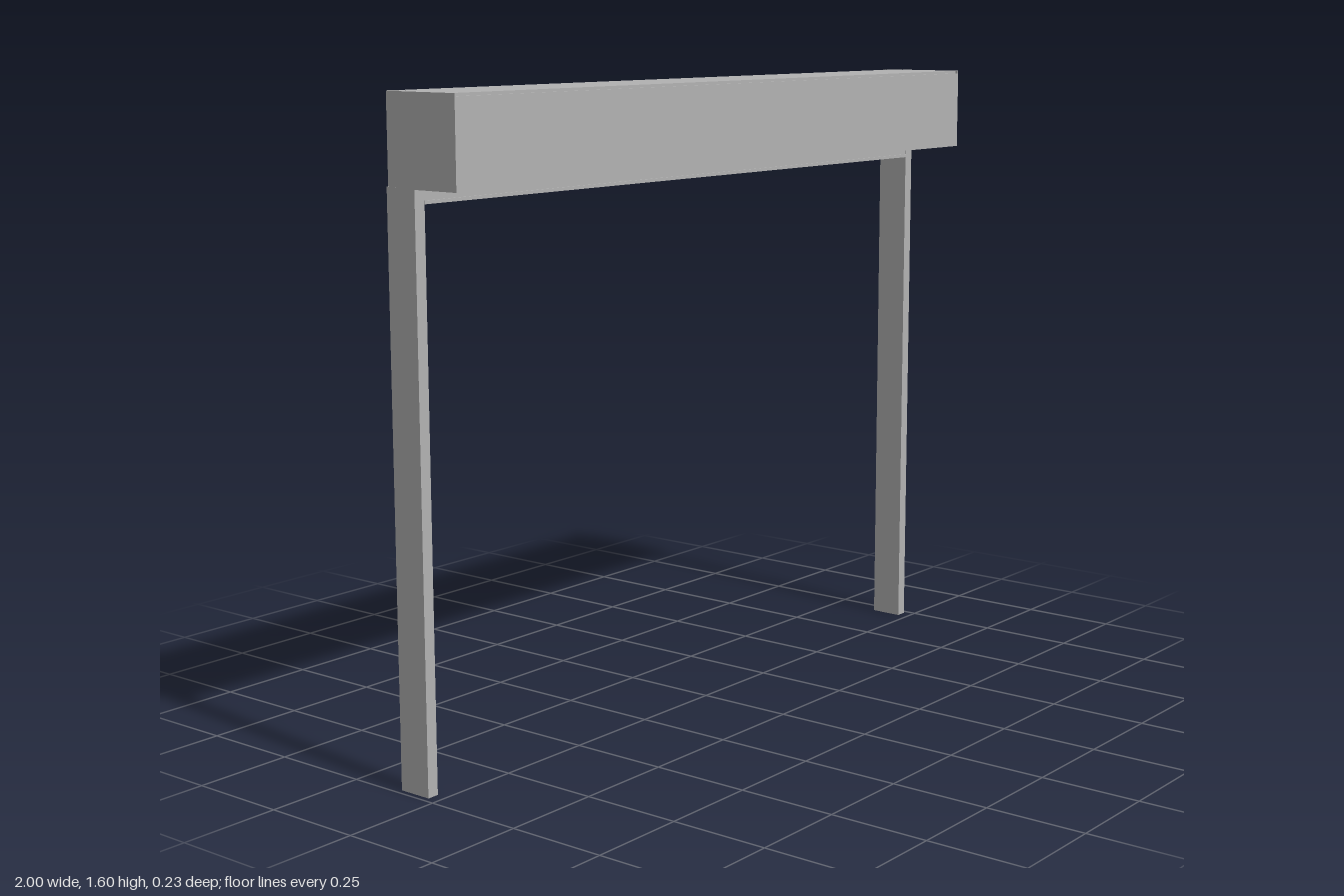
import * as THREE from 'three';

const grey = new THREE.MeshStandardMaterial({ color: 0xb3b3b3 });
grey.name = 'grey metal';

// Box given by its lower and upper limits on each axis
function box(parent, name, [x0, x1], [y0, y1], [z0, z1]) {
  const mesh = new THREE.Mesh(new THREE.BoxGeometry(x1 - x0, y1 - y0, z1 - z0), grey);
  mesh.position.set((x0 + x1) / 2, (y0 + y1) / 2, (z0 + z1) / 2);
  mesh.name = name;
  parent.add(mesh);
  return mesh;
}

export function createModel() {
  const model = new THREE.Group();
  model.name = 'shutterFrame';

  // Long housing with front fascia and end caps
  const housing = new THREE.Group();
  housing.name = 'housing';
  model.add(housing);
  box(housing, 'housingBody', [-0.995, 0.995], [1.387, 1.595], [-0.06, 0.108]);
  box(housing, 'frontFascia', [-0.995, 0.995], [1.385, 1.588], [0.108, 0.114]);
  // Thin flange running back from the top of the housing
  box(housing, 'topFlange', [-0.955, 0.955], [1.585, 1.595], [-0.1, -0.06]);

  // Bottom rail of the curtain, just below the housing
  const rail = new THREE.Group();
  rail.name = 'curtainRail';
  model.add(rail);
  box(rail, 'railWeb', [-0.955, 0.955], [1.358, 1.387], [-0.058, -0.03]);
  box(rail, 'railFoot', [-0.955, 0.955], [1.35, 1.358], [-0.06, -0.026]);
  box(rail, 'railTab', [-0.04, 0.04], [1.374, 1.382], [-0.03, -0.026]);

  // Guide posts and the slimmer brackets behind the housing ends
  for (const side of [-1, 1]) {
    const post = new THREE.Group();
    post.name = side > 0 ? 'leftPost' : 'rightPost';
    model.add(post);
    const span = (a, b) => (side > 0 ? [a, b] : [-b, -a]);
    box(post, 'guide', span(0.955, 0.985), [0, 1.386], [-0.114, -0.028]);
    box(post, 'bracket', span(0.956, 0.984), [1.386, 1.595], [-0.11, -0.06]);
    box(housing, 'endCap', span(0.995, 1), [1.385, 1.595], [-0.058, 0.114]);
  }
  return model;
}
